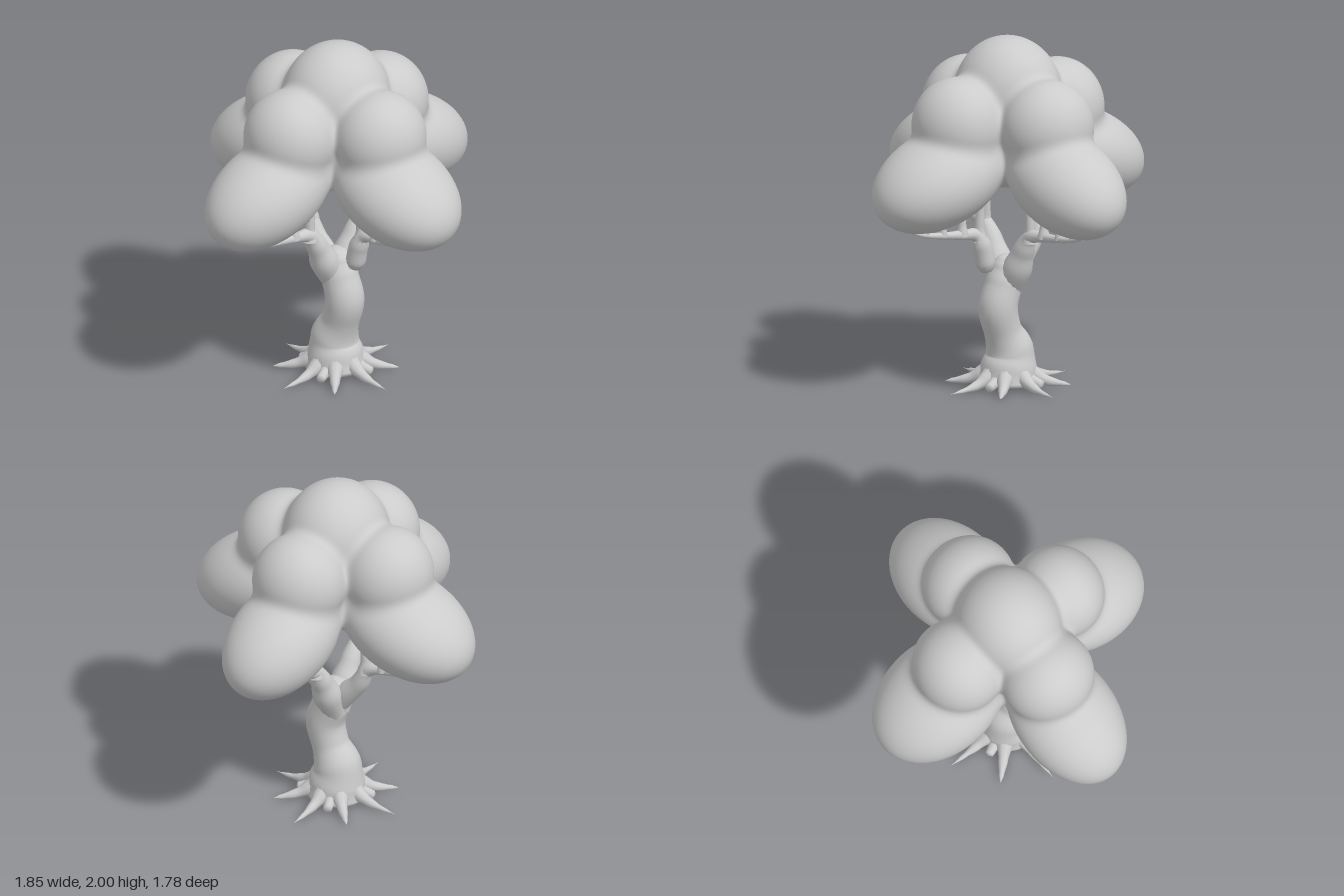
import * as THREE from 'three';
import { mergeVertices } from 'three/addons/utils/BufferGeometryUtils.js';

const material = new THREE.MeshStandardMaterial({ color: 0xcccccc });

function smooth(geometry) {
  geometry.deleteAttribute('uv');
  geometry.deleteAttribute('normal');
  const merged = mergeVertices(geometry, 1e-5);
  merged.computeVertexNormals();
  return merged;
}

function addMesh(parent, name, geometry) {
  const mesh = new THREE.Mesh(geometry, material);
  mesh.name = name;
  parent.add(mesh);
  return mesh;
}

// Tapering limb through points [x, y, z, radius]
function limb(points, segments = 28, sides = 14) {
  const path = new THREE.CatmullRomCurve3(points.map(p => new THREE.Vector3(p[0], p[1], p[2])));
  const geometry = new THREE.TubeGeometry(path, segments, 1, sides);
  const pos = geometry.attributes.position;
  const v = new THREE.Vector3();
  for (let i = 0; i <= segments; i++) {
    const centre = path.getPointAt(i / segments);
    const t = path.getUtoTmapping(i / segments) * (points.length - 1);
    const k = Math.min(Math.floor(t), points.length - 2);
    const radius = THREE.MathUtils.lerp(points[k][3], points[k + 1][3], THREE.MathUtils.smoothstep(t - k, 0, 1));
    for (let j = 0; j <= sides; j++) {
      const n = i * (sides + 1) + j;
      v.fromBufferAttribute(pos, n).sub(centre).multiplyScalar(radius).add(centre);
      pos.setXYZ(n, v.x, Math.max(0, v.y), v.z);
    }
  }
  return smooth(geometry);
}

// Canopy lobes: each has a centre, half sizes, heading around y and downward tilt
function canopyLobes() {
  const lobes = [
    { r: 0, y: 1.68, size: [0.31, 0.32, 0.29], heading: 0, tilt: 0 },
    { r: 0, y: 1.4, size: [0.34, 0.25, 0.34], heading: 0, tilt: 0 },
  ];
  for (let k = 0; k < 4; k++) {
    const sideways = k % 2 === 0;
    const heading = k * Math.PI / 2;
    lobes.push({ r: 0.35, y: 1.55, size: [0.255, 0.27, 0.265], heading, tilt: 0 });
    lobes.push({
      r: sideways ? 0.52 : 0.485, y: 1.265,
      size: [0.42, 0.255, sideways ? 0.288 : 0.318], heading, tilt: 0.36,
    });
  }
  return lobes.map(l => ({
    ...l, c: Math.cos(l.heading), s: Math.sin(l.heading), ct: Math.cos(l.tilt), st: Math.sin(l.tilt),
  }));
}

// Smoothly blended distance to all lobes
function canopyDistance(lobes, x, y, z) {
  const blend = 0.05;
  let d = 10;
  for (const l of lobes) {
    const u = x * l.c + z * l.s - l.r, w = y - l.y;
    const a = (u * l.ct - w * l.st) / l.size[0];
    const b = (u * l.st + w * l.ct) / l.size[1];
    const c = (z * l.c - x * l.s) / l.size[2];
    const k0 = Math.hypot(a, b, c);
    const k1 = Math.hypot(a / l.size[0], b / l.size[1], c / l.size[2]) || 1;
    const e = k0 * (k0 - 1) / k1;
    const h = Math.max(blend - Math.abs(d - e), 0) / blend;
    d = Math.min(d, e) - h * h * blend / 4;
  }
  return d;
}

// Push every vertex of a sphere out to the blended lobe surface
function canopyGeometry() {
  const lobes = canopyLobes();
  const geometry = smooth(new THREE.IcosahedronGeometry(1, 40));
  const pos = geometry.attributes.position;
  const middle = 1.4;
  const v = new THREE.Vector3();
  for (let i = 0; i < pos.count; i++) {
    v.fromBufferAttribute(pos, i).normalize();
    const dist = r => canopyDistance(lobes, v.x * r, middle + v.y * r, v.z * r);
    let r = 1.2;
    while (r > 0.1 && dist(r) > 0) r -= 0.012;
    let near = r, far = r + 0.012;
    for (let n = 0; n < 9; n++) {
      const mid = (near + far) / 2;
      if (dist(mid) > 0) far = mid; else near = mid;
    }
    pos.setXYZ(i, v.x * near, middle + v.y * near, v.z * near);
  }
  geometry.computeVertexNormals();
  return geometry;
}

// One main branch along +x with its upright struts
function buildBranch(start) {
  const branch = new THREE.Group();
  addMesh(branch, 'branchLimb', limb([
    ...start, [0.31, 0.913, 0, 0.028], [0.45, 0.932, 0, 0.02],
    [0.58, 0.955, 0, 0.014], [0.66, 0.985, 0, 0.012], [0.74, 1.05, 0, 0.012],
  ], 48));
  const struts = [[0.2, 0.86, 0.028], [0.32, 0.91, 0.021], [0.455, 0.93, 0.014], [0.575, 0.955, 0.009]];
  for (const [x, y, r] of struts) {
    addMesh(branch, 'strut', limb([
      [x, y, 0, r * 1.7], [x, y + 0.07, 0, r], [x - 0.005, 1.04, 0, r * 0.9],
      [x - 0.01, 1.1, 0, r * 1.1], [x - 0.01, 1.2, 0, r * 1.8],
    ], 16, 10));
  }
  return branch;
}

export function createModel() {
  const tree = new THREE.Group();
  tree.name = 'tree';

  addMesh(tree, 'canopy', canopyGeometry());

  // Curved trunk leaning forward in the middle
  addMesh(tree, 'trunk', limb([
    [0, 0.005, 0, 0], [0, 0.015, 0, 0.17], [0, 0.1, -0.005, 0.158], [0, 0.2, -0.01, 0.135],
    [0, 0.33, 0.04, 0.105], [0, 0.46, 0.07, 0.11], [0, 0.59, 0.03, 0.105],
    [0, 0.69, 0.005, 0.085], [0, 0.75, 0, 0.05], [0, 0.76, 0, 0],
  ], 48, 20));

  // Left and right branches fork from the trunk, the back one leaves lower, the front one hangs free
  const fork = [[0.01, 0.55, 0, 0.07], [0.085, 0.69, 0, 0.083], [0.14, 0.8, 0, 0.062], [0.2, 0.89, 0, 0.042]];
  const starts = [
    ['leftBranch', 0, fork],
    ['frontBranch', 1, [[0.145, 0.668, 0, 0], [0.148, 0.68, 0, 0.035], [0.16, 0.73, 0, 0.056],
      [0.185, 0.83, 0, 0.055], [0.23, 0.9, 0, 0.036]]],
    ['rightBranch', 2, fork],
    ['backBranch', 3, [[-0.03, 0.54, 0, 0.06], [0.07, 0.68, 0, 0.064], [0.16, 0.78, 0, 0.053],
      [0.22, 0.885, 0, 0.04]]],
  ];
  for (const [name, quarter, start] of starts) {
    const branch = buildBranch(start);
    branch.name = name;
    branch.rotation.y = -quarter * Math.PI / 2;
    tree.add(branch);
  }

  // Long pointed roots with short blunt ones between some of them
  const roots = new THREE.Group();
  roots.name = 'roots';
  tree.add(roots);
  for (let i = 0; i < 8; i++) {
    const length = i % 2 ? 0.35 : 0.4;
    const root = addMesh(roots, 'root', limb([
      [0.06, 0.15, 0, 0.06], [0.14, 0.07, 0, 0.045], [0.22, 0.033, 0, 0.028],
      [0.31, 0.018, 0, 0.014], [length, 0.014, 0, 0.001],
    ], 18, 10));
    root.rotation.y = i * Math.PI / 4;
  }
  for (let i = 0; i < 4; i++) {
    const stub = addMesh(roots, 'shortRoot', limb([
      [0.08, 0.09, 0, 0.05], [0.16, 0.045, 0, 0.03], [0.22, 0.03, 0, 0.024], [0.225, 0.03, 0, 0],
    ], 16, 10));
    stub.rotation.y = Math.PI / 8 + i * Math.PI / 2;
  }
  return tree;
}
